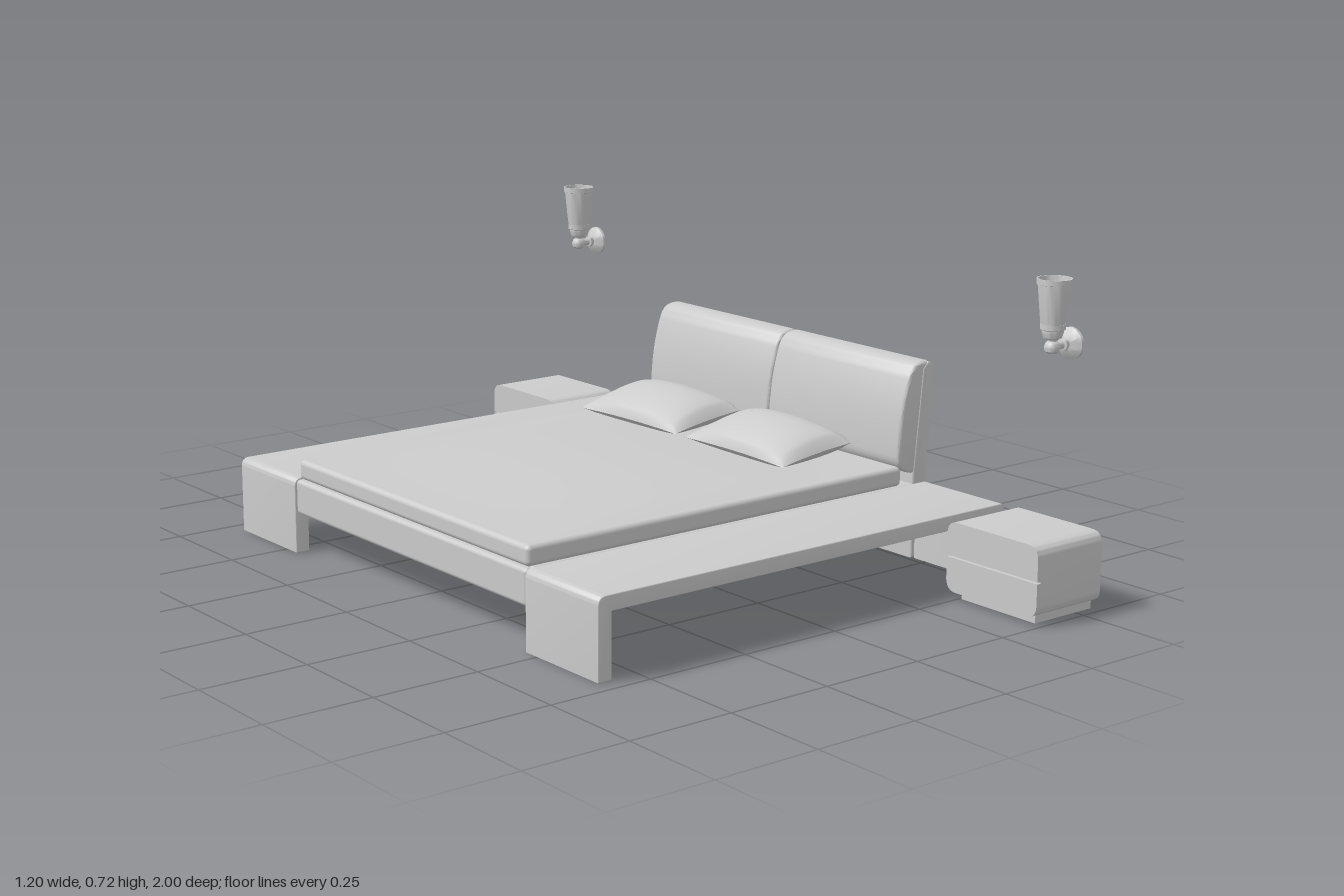
import * as THREE from 'three';
import { toCreasedNormals } from 'three/addons/utils/BufferGeometryUtils.js';
import { RoundedBoxGeometry } from 'three/addons/geometries/RoundedBoxGeometry.js';

const material = new THREE.MeshStandardMaterial({ color: 0xcccccc });
const openMaterial = new THREE.MeshStandardMaterial({ color: 0xcccccc, side: THREE.DoubleSide });

function add(parent, name, geometry, x = 0, y = 0, z = 0, mat = material) {
  const mesh = new THREE.Mesh(geometry, mat);
  mesh.name = name;
  mesh.position.set(x, y, z);
  parent.add(mesh);
  return mesh;
}

// Box given by its lower and upper limits, optionally rounded
function block(parent, name, [x0, x1], [y0, y1], [z0, z1], r = 0) {
  const size = [x1 - x0, y1 - y0, z1 - z0];
  const geometry = r ? new RoundedBoxGeometry(...size, 4, r) : new THREE.BoxGeometry(...size);
  return add(parent, name, geometry, (x0 + x1) / 2, (y0 + y1) / 2, (z0 + z1) / 2);
}

// Side profile extruded along z, centred on z = 0, with softened ends
function extrude(shape, depth, bevel = 0) {
  const geometry = new THREE.ExtrudeGeometry(shape, {
    depth: depth - 2 * bevel, curveSegments: 8, bevelEnabled: bevel > 0,
    bevelSize: bevel, bevelThickness: bevel, bevelOffset: -bevel, bevelSegments: 3,
  });
  geometry.translate(0, 0, bevel - depth / 2);
  return toCreasedNormals(geometry, 0.6);
}

// Rectangle centred on x with separate top and bottom corner radii
function roundedRect(w, y0, y1, rTop, rBottom) {
  const s = new THREE.Shape(), h = w / 2;
  s.moveTo(-h + rBottom, y0);
  s.lineTo(h - rBottom, y0);
  s.quadraticCurveTo(h, y0, h, y0 + rBottom);
  s.lineTo(h, y1 - rTop);
  s.quadraticCurveTo(h, y1, h - rTop, y1);
  s.lineTo(-h + rTop, y1);
  s.quadraticCurveTo(-h, y1, -h, y1 - rTop);
  s.lineTo(-h, y0 + rBottom);
  s.quadraticCurveTo(-h, y0, -h + rBottom, y0);
  return s;
}

// Side bench: a long top folded down into a leg at each end
function benchGeometry() {
  const s = new THREE.Shape(), x0 = -0.6, x1 = 0.55, top = 0.18, t = 0.035, r = 0.02;
  s.moveTo(x0, 0);
  s.lineTo(x0 + t, 0);
  s.lineTo(x0 + t, top - t);
  s.lineTo(x1 - t, top - t);
  s.lineTo(x1 - t, 0);
  s.lineTo(x1, 0);
  s.lineTo(x1, top - r / 2);
  s.quadraticCurveTo(x1, top, x1 - r / 2, top);
  s.lineTo(x0 + r, top);
  s.quadraticCurveTo(x0, top, x0, top - r);
  return extrude(s, 0.248, 0.002);
}

// Pillow: a flat grid box puffed up, with pinched edges and pointed corners
function pillowGeometry() {
  const geometry = new THREE.BoxGeometry(2, 1, 2, 24, 1, 24);
  const p = geometry.attributes.position;
  for (let i = 0; i < p.count; i++) {
    const u = p.getX(i), v = p.getZ(i), side = p.getY(i) > 0 ? 0.052 : -0.036;
    const puff = Math.pow(Math.max(0, (1 - u * u) * (1 - v * v)), 0.45);
    p.setXYZ(i,
      0.108 * u * (1 - 0.08 * (1 - v * v)),
      side * puff * (1 + 0.25 * u),
      0.182 * v * (1 - 0.05 * (1 - u * u)));
  }
  geometry.computeVertexNormals();
  return geometry;
}

// Blanket: gentle crown over the mattress top
function blanketGeometry() {
  const geometry = new THREE.PlaneGeometry(1.02, 0.87, 32, 24).rotateX(-Math.PI / 2);
  const p = geometry.attributes.position;
  for (let i = 0; i < p.count; i++) {
    const u = p.getX(i) / 0.51, v = p.getZ(i) / 0.435;
    p.setY(i, 0.015 * Math.pow(Math.cos(u * Math.PI / 2), 1.5) * Math.pow(Math.max(0, 1 - v * v), 0.5));
  }
  geometry.computeVertexNormals();
  return geometry;
}

function createHeadboard() {
  const g = new THREE.Group();
  g.name = 'headboard';
  // Leaning back panel reaching the floor
  const panel = new THREE.Shape();
  panel.moveTo(0.505, 0.002);
  panel.lineTo(0.55, 0.002);
  panel.lineTo(0.547, 0.18);
  panel.lineTo(0.564, 0.44);
  panel.quadraticCurveTo(0.565, 0.462, 0.545, 0.465);
  panel.lineTo(0.53, 0.45);
  panel.lineTo(0.505, 0.2);
  add(g, 'headboardPanel', extrude(panel, 0.92, 0.004));
  // Padded cushion on each half
  const pad = new THREE.Shape();
  pad.moveTo(0.535, 0.2);
  pad.lineTo(0.505, 0.205);
  pad.bezierCurveTo(0.48, 0.21, 0.456, 0.22, 0.458, 0.25);
  pad.bezierCurveTo(0.461, 0.33, 0.47, 0.38, 0.487, 0.43);
  pad.bezierCurveTo(0.497, 0.462, 0.515, 0.468, 0.545, 0.467);
  pad.lineTo(0.555, 0.45);
  const padGeometry = extrude(pad, 0.457, 0.007);
  for (const z of [-0.23, 0.23]) add(g, 'headboardCushion', padGeometry, 0, 0, z);
  return g;
}

function createNightstand(z) {
  const g = new THREE.Group();
  g.name = 'nightstand';
  g.position.z = z;
  const alongX = (shape, depth) => extrude(shape, depth).rotateY(-Math.PI / 2);
  add(g, 'cabinet', alongX(roundedRect(0.27, 0.02, 0.18, 0.03, 0.03), 0.19), 0.455);
  add(g, 'upperDrawer', alongX(roundedRect(0.27, 0.102, 0.18, 0.03, 0), 0.01), 0.355);
  add(g, 'lowerDrawer', alongX(roundedRect(0.27, 0.02, 0.098, 0, 0.03), 0.01), 0.355);
  // Hollow plinth
  const ring = roundedRect(0.175, -0.11, 0.11, 0, 0);
  ring.holes.push(roundedRect(0.145, -0.095, 0.095, 0, 0));
  add(g, 'plinth', extrude(ring, 0.024).rotateX(-Math.PI / 2), 0.4625, 0.012, 0);
  return g;
}

function lathe(points) {
  const geometry = new THREE.LatheGeometry(points.map(([r, y]) => new THREE.Vector2(r, y)), 32);
  return toCreasedNormals(geometry, 0.6);
}

function createSconce(z) {
  const g = new THREE.Group();
  g.name = 'wallLamp';
  g.position.set(0.537, 0, z);
  // Open flared shade with a thin wall
  add(g, 'shade', lathe([[0.012, 0.615], [0.027, 0.615], [0.029, 0.63], [0.036, 0.7], [0.036, 0.703],
    [0.039, 0.704], [0.039, 0.716], [0.036, 0.716], [0.034, 0.7], [0.026, 0.622], [0, 0.62]]), 0, 0, 0, openMaterial);
  // Turned holder below the shade
  add(g, 'holder', lathe([[0, 0.55], [0.01, 0.55], [0.016, 0.555], [0.018, 0.564], [0.015, 0.573], [0.01, 0.577],
    [0.01, 0.58], [0.02, 0.585], [0.024, 0.597], [0.024, 0.602], [0.028, 0.604], [0.028, 0.616], [0, 0.616]]),
    0, 0, 0, openMaterial);
  // Arm flaring into the wall plate
  const arm = lathe([[0, 0], [0.009, 0], [0.009, 0.03], [0.014, 0.032], [0.014, 0.038], [0.012, 0.042],
    [0.024, 0.047], [0.033, 0.054], [0.036, 0.056], [0.036, 0.063], [0, 0.063]]);
  add(g, 'armAndWallPlate', arm.rotateZ(-Math.PI / 2), 0, 0.565, 0, openMaterial);
  return g;
}

export function createModel() {
  const model = new THREE.Group();
  model.name = 'bedroomSet';

  // Bed frame: slab, stepped side rails and foot rail
  const bed = new THREE.Group();
  bed.name = 'bed';
  model.add(bed);
  block(bed, 'platform', [-0.57, 0.51], [0.12, 0.18], [-0.445, 0.445]);
  for (const s of [-1, 1]) {
    const z = [s * 0.45 - 0.01, s * 0.45 + 0.01];
    block(bed, 'lowerSideRail', [-0.58, 0.51], [0.095, 0.122], z, 0.004);
    block(bed, 'upperSideRail', [-0.58, 0.51], [0.13, 0.18], z, 0.004);
  }
  block(bed, 'footRail', [-0.598, -0.565], [0.095, 0.178], [-0.459, 0.459], 0.01);

  // Bedding
  block(bed, 'mattress', [-0.59, 0.475], [0.178, 0.225], [-0.455, 0.455], 0.012);
  add(bed, 'blanket', blanketGeometry(), -0.06, 0.2255, 0, openMaterial);
  const pillow = pillowGeometry();
  for (const z of [-0.238, 0.165]) {
    add(bed, 'pillow', pillow, 0.315, 0.257, z).rotation.set(0, z < 0 ? 0.03 : -0.02, 0.13);
  }
  bed.add(createHeadboard());

  // Benches on both sides, nightstands and wall lamps beyond them
  const bench = benchGeometry();
  for (const s of [-1, 1]) {
    add(model, 'sideBench', bench, 0, 0, s * 0.583);
    model.add(createNightstand(s * 0.865));
    model.add(createSconce(s * 0.855 - 0.01));
  }
  return model;
}
